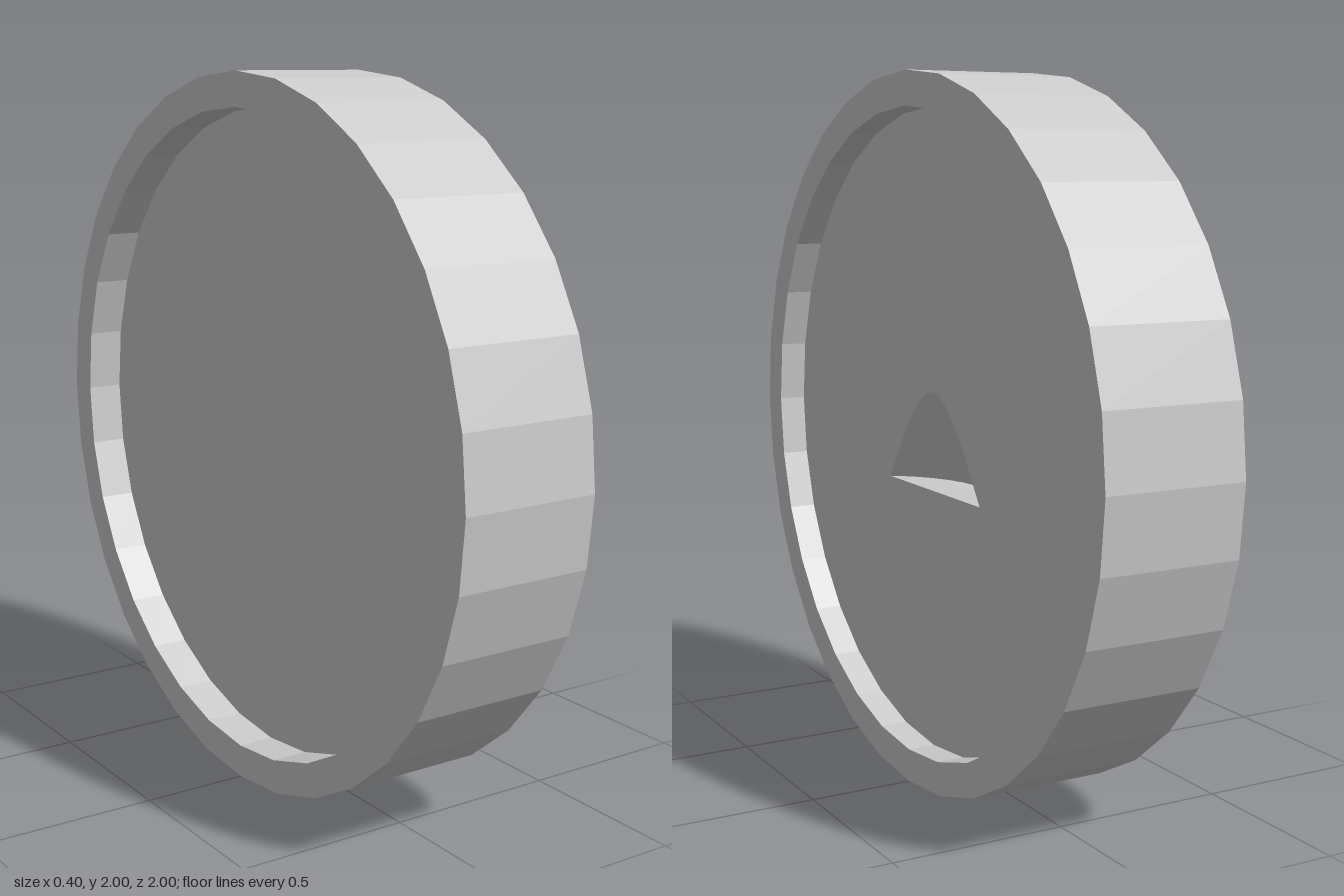
import * as THREE from 'three';

const SIDES = 32;
const RADIUS = 1, INNER = 0.905, HALF = 0.2;
const FACE_R = 0.12;    // x of the recessed face on the notched side
const FACE_L = -0.095;  // x of the recessed face on the plain side

// Notch: part of an upright hollow cone, cut off by the recessed face
const STEP = (Math.PI * 2) / SIDES, SPAN = 5;
const CONE_R = 0.324, CONE_H = 0.63, BASE_Y = -0.16;
const AXIS = CONE_R * Math.cos(SPAN * STEP); // distance of cone axis in front of the face

const material = new THREE.MeshStandardMaterial({ color: 0xcccccc, flatShading: true });

function addMesh(group, name, geometry) {
  const mesh = new THREE.Mesh(geometry, material);
  mesh.name = name;
  group.add(mesh);
}

// Point on the cone at angle i * STEP and radius r, in disc coordinates
function conePoint(i, r) {
  const a = i * STEP;
  return new THREE.Vector3(
    FACE_R + AXIS - r * Math.cos(a),
    BASE_Y + CONE_H * (1 - r / CONE_R),
    r * Math.sin(a)
  );
}
const basePoint = (i) => conePoint(i, CONE_R);
const cutPoint = (i) => conePoint(i, AXIS / Math.cos(i * STEP));

function fromTriangles(points) {
  const geometry = new THREE.BufferGeometry().setFromPoints(points);
  geometry.computeVertexNormals();
  return geometry;
}

export function createModel() {
  const group = new THREE.Group();
  group.name = 'disc';

  // Raised rim and plain recessed face, turned around the x axis
  const profile = [
    [0, FACE_L], [INNER, FACE_L], [INNER, -HALF], [RADIUS, -HALF],
    [RADIUS, HALF], [INNER, HALF], [INNER, FACE_R],
  ].map(([r, h]) => new THREE.Vector2(r, h));
  addMesh(group, 'rim', new THREE.LatheGeometry(profile, SIDES).rotateZ(-Math.PI / 2));

  // Recessed face with the notch opening
  const circle = [], opening = [];
  for (let i = 0; i < SIDES; i++) {
    circle.push(new THREE.Vector2(INNER * Math.cos(i * STEP), INNER * Math.sin(i * STEP)));
  }
  for (let i = -SPAN; i <= SPAN; i++) {
    const p = cutPoint(i);
    opening.push(new THREE.Vector2(-p.z, p.y));
  }
  const face = new THREE.Shape(circle);
  face.holes.push(new THREE.Path(opening));
  addMesh(group, 'notchedFace',
    new THREE.ShapeGeometry(face).rotateY(Math.PI / 2).translate(FACE_R, 0, 0));

  // Faceted cone wall and flat floor of the notch
  const wall = [], floor = [];
  const middle = new THREE.Vector3(FACE_R, BASE_Y, 0);
  for (let i = -SPAN; i < SPAN; i++) {
    const b0 = basePoint(i), b1 = basePoint(i + 1);
    const t0 = cutPoint(i), t1 = cutPoint(i + 1);
    if (i > -SPAN) wall.push(b1, b0, t0);
    if (i < SPAN - 1) wall.push(b1, t0, t1);
    floor.push(middle, b0, b1);
  }
  addMesh(group, 'notchWall', fromTriangles(wall));
  addMesh(group, 'notchFloor', fromTriangles(floor));

  group.position.y = RADIUS;
  return group;
}
